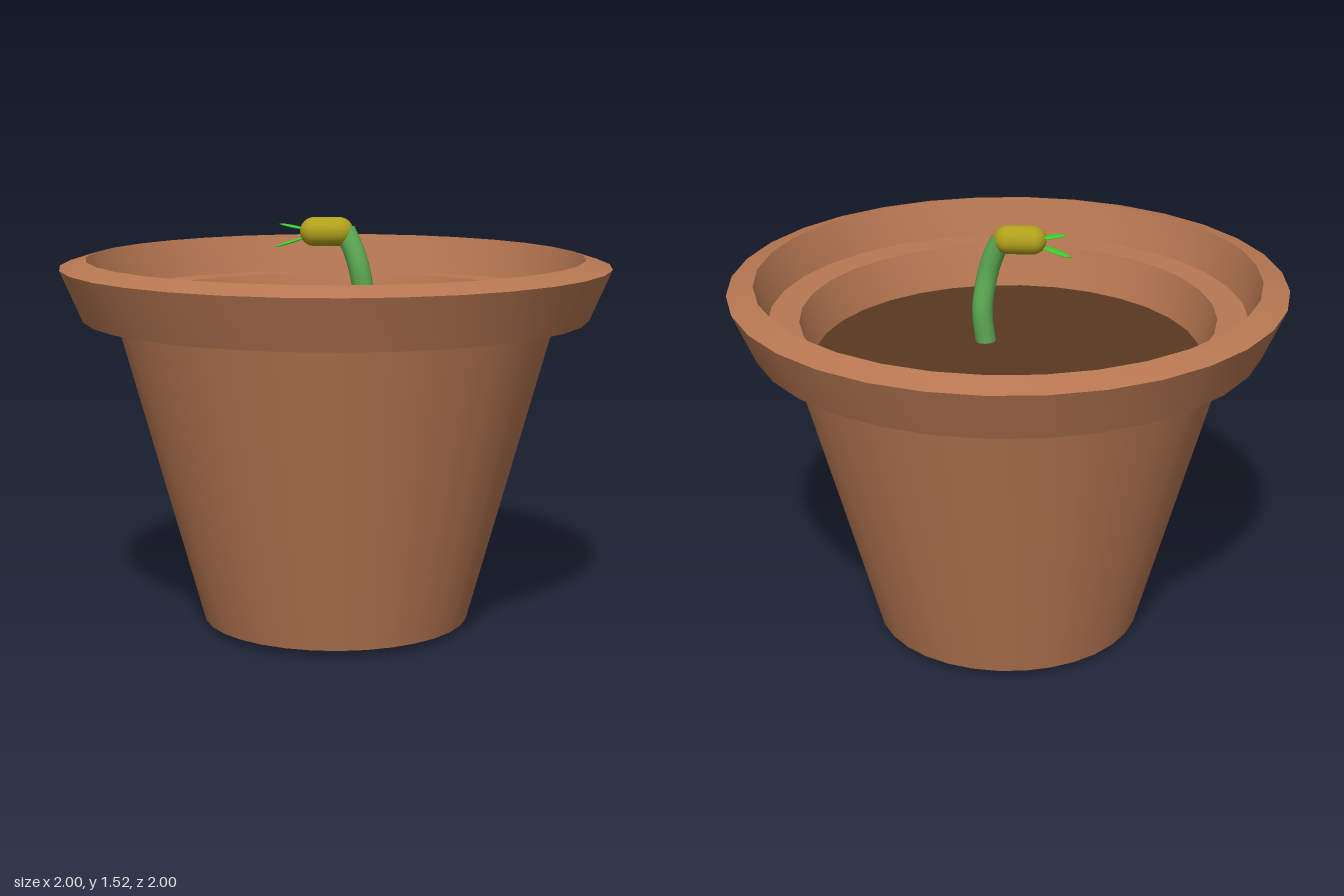
import * as THREE from 'three';
import { toCreasedNormals } from 'three/addons/utils/BufferGeometryUtils.js';

const SIDES = 32;
const material = (color) => new THREE.MeshStandardMaterial({ color });
const v3 = (x, y, z) => new THREE.Vector3(x, y, z);

export function createModel() {
  const model = new THREE.Group();
  const add = (name, geometry, mat, parent = model) => {
    const mesh = new THREE.Mesh(geometry, mat);
    mesh.name = name;
    parent.add(mesh);
    return mesh;
  };

  // Clay pot: underside, tapered wall, flared rim, inner ledge and inner wall
  const profile = [
    [0, 0], [0.49, 0.025], [0.8, 1.15], [0.92, 1.15], [1, 1.335],
    [0.905, 1.365], [0.86, 1.222], [0.748, 1.222], [0.7, 1.06],
  ].map(([r, y]) => new THREE.Vector2(r, y));
  const pot = toCreasedNormals(new THREE.LatheGeometry(profile, SIDES), 0.35);
  add('pot', pot, material(0xb87852));

  // Soil
  const soil = add('soil', new THREE.CircleGeometry(0.703, SIDES), material(0x5a3820));
  soil.rotation.x = -Math.PI / 2;
  soil.position.y = 1.068;

  // Sprout
  const sprout = new THREE.Group();
  sprout.name = 'sprout';
  model.add(sprout);

  const stemPath = new THREE.CatmullRomCurve3([
    v3(0.09, 1.05, 0.12), v3(0.103, 1.19, 0.112), v3(0.085, 1.32, 0.124),
    v3(0.062, 1.4, 0.118), v3(0.03, 1.47, 0.106),
  ]);
  add('stem', new THREE.TubeGeometry(stemPath, 12, 0.038, 12), material(0x5fae55), sprout);

  const bud = add('bud', new THREE.CapsuleGeometry(0.052, 0.088, 8, 20), material(0xb0a01c), sprout);
  bud.rotation.z = Math.PI / 2;
  bud.position.set(-0.034, 1.465, 0.105);

  // Two thin leaves opening from the tip of the bud
  const leafMaterial = material(0x3fd02a);
  const leaves = [
    [v3(-0.1, 1.472, 0.105), v3(-0.203, 1.492, 0.09)],
    [v3(-0.1, 1.448, 0.105), v3(-0.222, 1.408, 0.088)],
  ];
  for (const [start, tip] of leaves) {
    const leaf = add('leaf', new THREE.SphereGeometry(1, 12, 8), leafMaterial, sprout);
    const along = tip.clone().sub(start);
    leaf.scale.set(along.length() / 2, 0.005, 0.024);
    leaf.position.copy(start).add(tip).multiplyScalar(0.5);
    leaf.quaternion.setFromUnitVectors(v3(-1, 0, 0), along.normalize());
  }

  return model;
}
